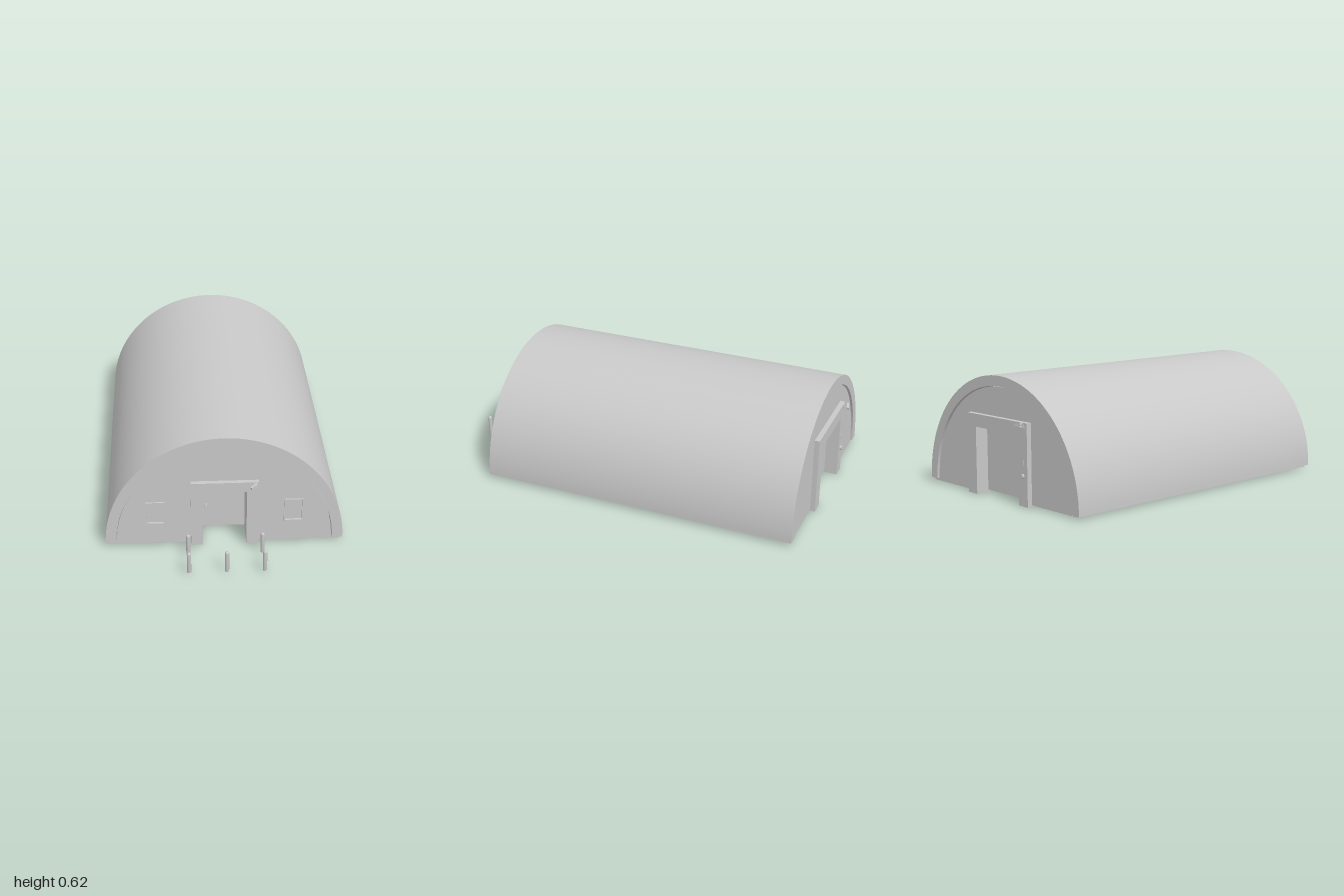
import * as THREE from 'three';
import { toCreasedNormals } from 'three/addons/utils/BufferGeometryUtils.js';

export function createModel() {
  const root = new THREE.Group();
  const grey = new THREE.MeshStandardMaterial({ color: 0xc8c8c8, side: THREE.DoubleSide });
  grey.name = 'grey';
  const BASE = 0.02, OUTER = 0.598, INNER = 0.545, WALL = 0.541;

  const add = (name, geo, x = 0, y = 0, z = 0, parent = root) => {
    const m = new THREE.Mesh(geo, grey);
    m.name = name;
    m.position.set(x, y, z);
    parent.add(m);
    return m;
  };
  // box given by its limits
  const box = (name, x0, x1, y0, y1, z0, z1, parent) =>
    add(name, new THREE.BoxGeometry(x1 - x0, y1 - y0, z1 - z0),
      (x0 + x1) / 2, (y0 + y1) / 2, (z0 + z1) / 2, parent);
  // drops the flat faces resting near the ground, leaving the part hollow from below
  const openBottom = (geo) => {
    const p = geo.attributes.position, kept = [];
    for (let i = 0; i < p.count; i += 3) {
      const ys = [p.getY(i), p.getY(i + 1), p.getY(i + 2)];
      if (Math.max(...ys) < 0.03 && Math.max(...ys) - Math.min(...ys) < 1e-4) continue;
      for (let k = i; k < i + 3; k++) kept.push(p.getX(k), p.getY(k), p.getZ(k));
    }
    return new THREE.BufferGeometry().setAttribute('position', new THREE.Float32BufferAttribute(kept, 3));
  };
  const extrude = (name, shape, z0, z1) => {
    const g = new THREE.ExtrudeGeometry(shape, { depth: z1 - z0, bevelEnabled: false, curveSegments: 40 });
    const open = openBottom(g);
    open.computeVertexNormals();
    return add(name, toCreasedNormals(open, 0.4), 0, 0, z0);
  };
  const arch = (r1, r0) => {
    const s = new THREE.Shape();
    s.absarc(0, BASE, r1, 0, Math.PI, false);
    s.absarc(0, BASE, r0, Math.PI, 0, true);
    s.closePath();
    return s;
  };
  const points = (list) => list.map(([x, y]) => new THREE.Vector2(x, y));
  const rect = (x0, x1, y0, y1) => new THREE.Path(points([[x0, y0], [x1, y0], [x1, y1], [x0, y1]]));

  // vaulted roof with base rails, inner hoops and purlins
  extrude('roofShell', arch(OUTER, INNER), -0.95, 0.75);
  for (const s of [-1, 1]) {
    for (const x of [0.55, 0.58]) {
      const rail = box('baseRail', -0.001, 0.001, 0.008, 0.024, -0.938, 0.738);
      rail.position.x = s * x;
    }
    for (const z of [0.737, -0.937]) {
      const sill = box('endSill', -0.02, 0.02, 0.008, 0.024, z - 0.001, z + 0.001);
      sill.position.x = s * 0.561;
    }
  }
  for (let i = 0; i < 7; i++) {
    const z = -0.86 + i * 0.25;
    extrude('roofHoop', arch(INNER + 0.002, INNER - 0.018), z - 0.008, z + 0.008);
  }
  for (let i = 1; i < 8; i++) {
    const a = i * Math.PI / 8, r = INNER - 0.004;
    const p = add('purlin', new THREE.BoxGeometry(0.012, 0.01, 1.58), Math.cos(a) * r, BASE + Math.sin(a) * r, -0.1);
    p.rotation.z = a;
  }

  // end walls set back inside the roof edge, notched around the portal
  const endWall = (name, w, h, z0, z1, windows) => {
    const s = new THREE.Shape();
    s.moveTo(WALL, 0.008);
    s.lineTo(WALL, BASE);
    s.absarc(0, BASE, WALL, 0, Math.PI, false);
    for (const [x, y] of [[-WALL, 0.008], [-w, 0.008], [-w, h], [w, h], [w, 0.008]]) s.lineTo(x, y);
    s.closePath();
    for (const wd of windows) s.holes.push(rect(...wd));
    extrude(name, s, z0, z1);
  };
  const windows = [[-0.39, -0.303, 0.13, 0.248], [0.303, 0.39, 0.13, 0.248]];
  endWall('frontWall', 0.166, 0.365, 0.695, 0.739, windows);
  endWall('backWall', 0.238, 0.41, -0.939, -0.895, []);

  // deep door surrounds
  const portal = (name, w, h, ow, oh, y0, z0, z1) => {
    const s = new THREE.Shape(points(
      [[w, y0], [w, h], [-w, h], [-w, y0], [-ow, y0], [-ow, oh], [ow, oh], [ow, y0]]));
    extrude(name, s, z0, z1);
  };
  portal('frontPortal', 0.168, 0.37, 0.11, 0.315, 0.006, 0.59, 0.763);
  portal('backPortal', 0.24, 0.412, 0.17, 0.346, 0, -0.965, -0.88);

  // doors
  box('frontDoor', -0.11, 0.11, 0.012, 0.315, 0.592, 0.606);
  box('frontDoorPanel', -0.065, 0.062, 0.03, 0.25, 0.604, 0.614);
  box('frontDoorInnerPanel', -0.085, 0.085, 0.03, 0.29, 0.584, 0.594);
  box('backDoor', -0.17, 0.17, 0.012, 0.346, -0.895, -0.882);
  for (const z of [0.618, 0.58]) {
    const k = add('doorKnob', new THREE.CylinderGeometry(0.007, 0.007, 0.02, 12), -0.088, 0.14, z);
    k.rotation.x = Math.PI / 2;
  }
  box('doorLatch', -0.095, -0.08, 0.13, 0.148, 0.604, 0.612);

  // windows: raised frames outside, deeper frames and bars inside
  for (const [x0, x1, y0, y1] of windows) {
    box('windowPane', x0, x1, y0, y1, 0.727, 0.735);
    for (const [z0, z1, m] of [[0.732, 0.747, 0.005], [0.675, 0.698, 0.01]]) {
      box('windowJamb', x0 - m, x0 + 0.002, y0 - m, y1 + m, z0, z1);
      box('windowJamb', x1 - 0.002, x1 + m, y0 - m, y1 + m, z0, z1);
      box('windowSill', x0, x1, y0 - m, y0 + 0.001, z0, z1);
      box('windowHead', x0, x1, y1 - 0.001, y1 + m, z0, z1);
    }
    for (let i = 1; i < 4; i++) {
      const y = y0 + (y1 - y0) * i / 4;
      box('windowBar', x0, x1, y - 0.004, y + 0.004, 0.685, 0.695);
    }
  }

  // wall cameras on short brackets
  const camera = (name, x, y, z, turn, yaw) => {
    const g = new THREE.Group();
    g.name = name;
    g.position.set(x, y, z);
    g.rotation.y = turn;
    root.add(g);
    box('cameraMount', -0.008, 0.008, -0.015, 0.006, -0.003, 0.004, g);
    box('cameraArm', -0.003, 0.003, -0.01, -0.004, 0, 0.026, g);
    const body = box('cameraBody', -0.006, 0.006, -0.003, 0.01, 0.004, 0.044, g);
    body.rotation.set(0.25, yaw, 0, 'YXZ');
    body.position.x -= 0.009;
  };
  camera('frontCamera', 0.152, 0.358, 0.763, 0, -1);
  camera('backCamera', -0.214, 0.402, -0.965, Math.PI, -1.35);

  // control button and keypad beside the back door
  const button = add('backButton', new THREE.CylinderGeometry(0.012, 0.012, 0.012, 16), -0.205, 0.15, -0.969);
  button.rotation.x = Math.PI / 2;
  box('backKeypad', -0.211, -0.199, 0.205, 0.23, -0.968, -0.964);

  // small posts with feet inside the back wall
  for (const x of [-0.43, -0.21, 0.21, 0.43]) {
    box('wallPost', x - 0.005, x + 0.005, 0.012, 0.07, -0.84, -0.83);
    box('wallFoot', x - 0.016, x + 0.016, 0.01, 0.016, -0.85, -0.82);
  }

  // ceiling lamps either side of the ridge
  for (const s of [-1, 1]) for (const z of [0.27, 0.49]) {
    const lamp = add('ceilingLamp', new THREE.BoxGeometry(0.05, 0.014, 0.16), s * 0.13, BASE + 0.52, z);
    lamp.rotation.z = -s * 0.25;
  }

  // round-topped bollards
  const profile = points([[0, 0], [0.0105, 0], [0.0105, 0.104], [0.009, 0.11], [0.005, 0.114], [0, 0.115]]);
  const bollard = new THREE.LatheGeometry(profile, 16);
  for (const [x, z] of [[-0.185, 0.84], [0.185, 0.84], [-0.185, 0.988], [0, 0.988], [0.185, 0.988]])
    add('bollard', bollard, x, 0.008, z);

  return root;
}
